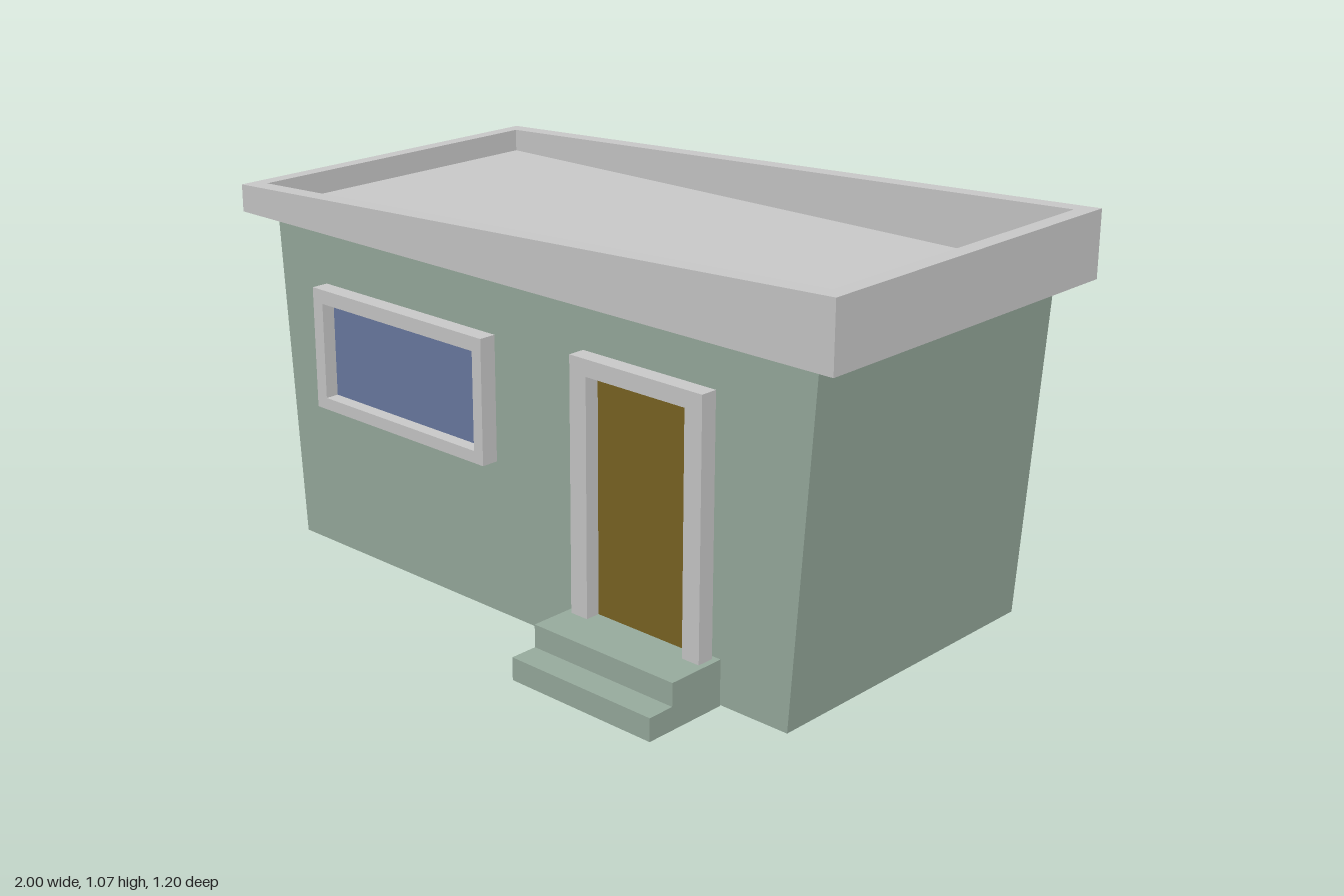
import * as THREE from 'three';

const material = (color) => new THREE.MeshStandardMaterial({ color, flatShading: true });

// Adds a named mesh to a parent
function add(parent, name, geometry, mat) {
  const mesh = new THREE.Mesh(geometry, mat);
  mesh.name = name;
  parent.add(mesh);
  return mesh;
}

// Box given by its limits on each axis
function box(x0, x1, y0, y1, z0, z1) {
  return new THREE.BoxGeometry(x1 - x0, y1 - y0, z1 - z0)
    .translate((x0 + x1) / 2, (y0 + y1) / 2, (z0 + z1) / 2);
}

// Applies a rule to every vertex
function reshape(geometry, rule) {
  const p = geometry.attributes.position;
  const v = new THREE.Vector3();
  for (let i = 0; i < p.count; i++) {
    rule(v.fromBufferAttribute(p, i));
    p.setXYZ(i, v.x, v.y, v.z);
  }
  geometry.computeVertexNormals();
  return geometry;
}

const polygon = (points) => points.map(([x, y]) => new THREE.Vector2(x, y));
const rectangle = (x0, x1, y0, y1) => polygon([[x0, y0], [x1, y0], [x1, y1], [x0, y1]]);

function extrude(outline, depth, hole) {
  const shape = new THREE.Shape(outline);
  if (hole) shape.holes.push(new THREE.Path(hole));
  return new THREE.ExtrudeGeometry(shape, { depth, bevelEnabled: false });
}

export function createModel() {
  const house = new THREE.Group();
  house.name = 'house';
  const grey = material(0xcccccc);
  const green = material(0x99ad9f);
  const blue = material(0x6b7ca3);
  const brown = material(0x7b6523);

  // Walls flare outward to the sides towards the top
  const walls = reshape(box(-1, 1, 0.003, 0.9, -0.54, 0.358), (v) => {
    v.x *= v.y > 0.5 ? 0.92 : 0.86;
  });
  add(house, 'walls', walls, green);

  // Roof: parapet ring whose top slopes up to the left, around a flat deck
  const roof = new THREE.Group();
  roof.name = 'roof';
  house.add(roof);
  const parapet = extrude(rectangle(-1, 1, -0.413, 0.598), 1, rectangle(-0.953, 0.953, -0.365, 0.551));
  parapet.rotateX(-Math.PI / 2);
  reshape(parapet, (v) => {
    v.y = v.y > 0.5 ? 1.024 + 0.05 * v.x : 0.9;
  });
  add(roof, 'parapet', parapet, grey);
  add(roof, 'roofDeck', box(-0.953, 0.953, 0.898, 0.915, -0.551, 0.365), grey);

  // Window
  const windowGroup = new THREE.Group();
  windowGroup.name = 'window';
  house.add(windowGroup);
  const windowFrame = extrude(rectangle(-0.722, -0.08, 0.415, 0.745), 0.047, rectangle(-0.685, -0.112, 0.447, 0.707));
  add(windowGroup, 'windowFrame', windowFrame.translate(0, 0, 0.363), grey);
  add(windowGroup, 'windowPane', box(-0.685, -0.112, 0.447, 0.707, 0.359, 0.373), blue);

  // Door with a frame open at the bottom
  const door = new THREE.Group();
  door.name = 'door';
  house.add(door);
  const doorFrame = extrude(polygon([
    [0.23, 0.12], [0.283, 0.12], [0.283, 0.735], [0.59, 0.735],
    [0.59, 0.12], [0.642, 0.12], [0.642, 0.778], [0.23, 0.778],
  ]), 0.046);
  add(door, 'doorFrame', doorFrame.translate(0, 0, 0.37), grey);
  add(door, 'doorPanel', box(0.283, 0.59, 0.12, 0.735, 0.359, 0.376), brown);

  // Entrance steps, extruded sideways from their profile
  const steps = extrude(polygon([
    [-0.598, 0], [-0.358, 0], [-0.358, 0.12], [-0.523, 0.12], [-0.523, 0.06], [-0.598, 0.06],
  ]), 0.445);
  add(house, 'steps', steps.rotateY(Math.PI / 2).translate(0.213, 0, 0), green);

  return house;
}
